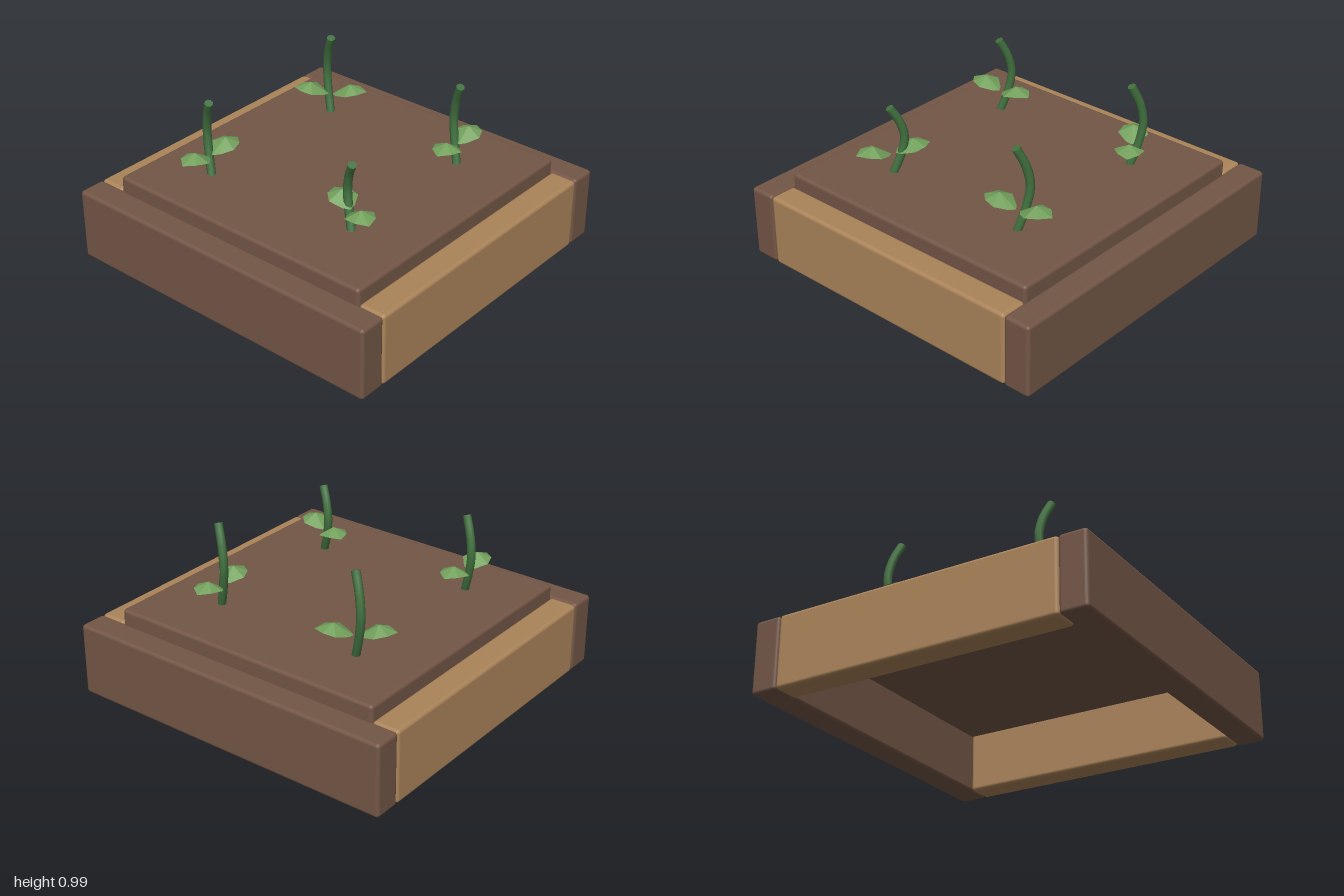
import * as THREE from 'three';
import { RoundedBoxGeometry } from 'three/addons/geometries/RoundedBoxGeometry.js';

const darkWood = new THREE.MeshStandardMaterial({ color: 0x735646 });
darkWood.name = 'dark brown';
const paleWood = new THREE.MeshStandardMaterial({ color: 0xab845a });
paleWood.name = 'pale wood';
const stemGreen = new THREE.MeshStandardMaterial({ color: 0x41703f });
stemGreen.name = 'stem green';
const leafGreen = new THREE.MeshStandardMaterial({ color: 0x72a05c, flatShading: true, side: THREE.DoubleSide });
leafGreen.name = 'leaf green';

const SOIL_TOP = 0.5;

function block(name, size, position, material) {
  const mesh = new THREE.Mesh(new RoundedBoxGeometry(...size, 3, 0.02), material);
  mesh.name = name;
  mesh.position.set(...position);
  return mesh;
}

// Stem bowing towards +x and -z, closed by a flat disc at the top
function makeStem(height) {
  const stem = new THREE.Group();
  stem.name = 'stem';
  const curve = new THREE.CatmullRomCurve3([
    [-0.005, -0.04, 0.005], [0, 0, 0], [0.022, 0.25, -0.035],
    [0.035, 0.52, -0.055], [0.022, 0.77, -0.035], [-0.006, 1, 0.01],
  ].map(([x, y, z]) => new THREE.Vector3(x, y * height, z)));
  const radius = 0.024;
  const tube = new THREE.Mesh(new THREE.TubeGeometry(curve, 12, radius, 8), stemGreen);
  tube.name = 'stemTube';
  const cap = new THREE.Mesh(new THREE.CircleGeometry(radius, 8), stemGreen);
  cap.name = 'stemTip';
  const end = curve.getPoint(1);
  cap.position.copy(end);
  cap.lookAt(end.clone().add(curve.getTangent(1)));
  stem.add(tube, cap);
  return stem;
}

// Leaf: a fan of facets around a raised centre, pointing along +x
function makeLeafGeometry() {
  const centre = [0.115, 0.18, 0];
  const rim = [
    [0.012, 0.112, 0], [0.035, 0.118, 0.035], [0.095, 0.138, 0.083], [0.165, 0.146, 0.06],
    [0.213, 0.14, 0], [0.165, 0.146, -0.06], [0.095, 0.138, -0.083], [0.035, 0.118, -0.035],
  ];
  const points = rim.flatMap((p, i) => [centre, p, rim[(i + 1) % rim.length]]).flat();
  const geometry = new THREE.BufferGeometry();
  geometry.setAttribute('position', new THREE.Float32BufferAttribute(points, 3));
  geometry.computeVertexNormals();
  return geometry;
}

export function createModel() {
  const model = new THREE.Group();
  model.name = 'planterBed';

  // Frame planks and raised soil slab
  for (const side of [-1, 1]) {
    model.add(block(side > 0 ? 'leftPlank' : 'rightPlank', [0.16, 0.42, 2], [side * 0.92, 0.21, 0], darkWood));
    model.add(block(side > 0 ? 'frontPlank' : 'backPlank', [1.68, 0.42, 0.16], [0, 0.21, side * 0.92], paleWood));
  }
  model.add(block('soil', [1.68, 0.16, 1.68], [0, SOIL_TOP - 0.08, 0], darkWood));

  // Four sprouts: x, z, stem height, heading of the leaf pair
  const leafGeometry = makeLeafGeometry();
  const sprouts = [
    [-0.5, -0.485, 0.44, 0],
    [0.472, -0.465, 0.475, -1.02],
    [-0.44, 0.458, 0.39, 1.13],
    [0.46, 0.46, 0.475, 0.1],
  ];
  for (const [x, z, height, heading] of sprouts) {
    const sprout = new THREE.Group();
    sprout.name = 'sprout';
    sprout.position.set(x, SOIL_TOP, z);
    sprout.add(makeStem(height));
    for (const turn of [0, Math.PI]) {
      const leaf = new THREE.Mesh(leafGeometry, leafGreen);
      leaf.name = 'leaf';
      leaf.rotation.y = heading + turn;
      sprout.add(leaf);
    }
    model.add(sprout);
  }
  return model;
}
